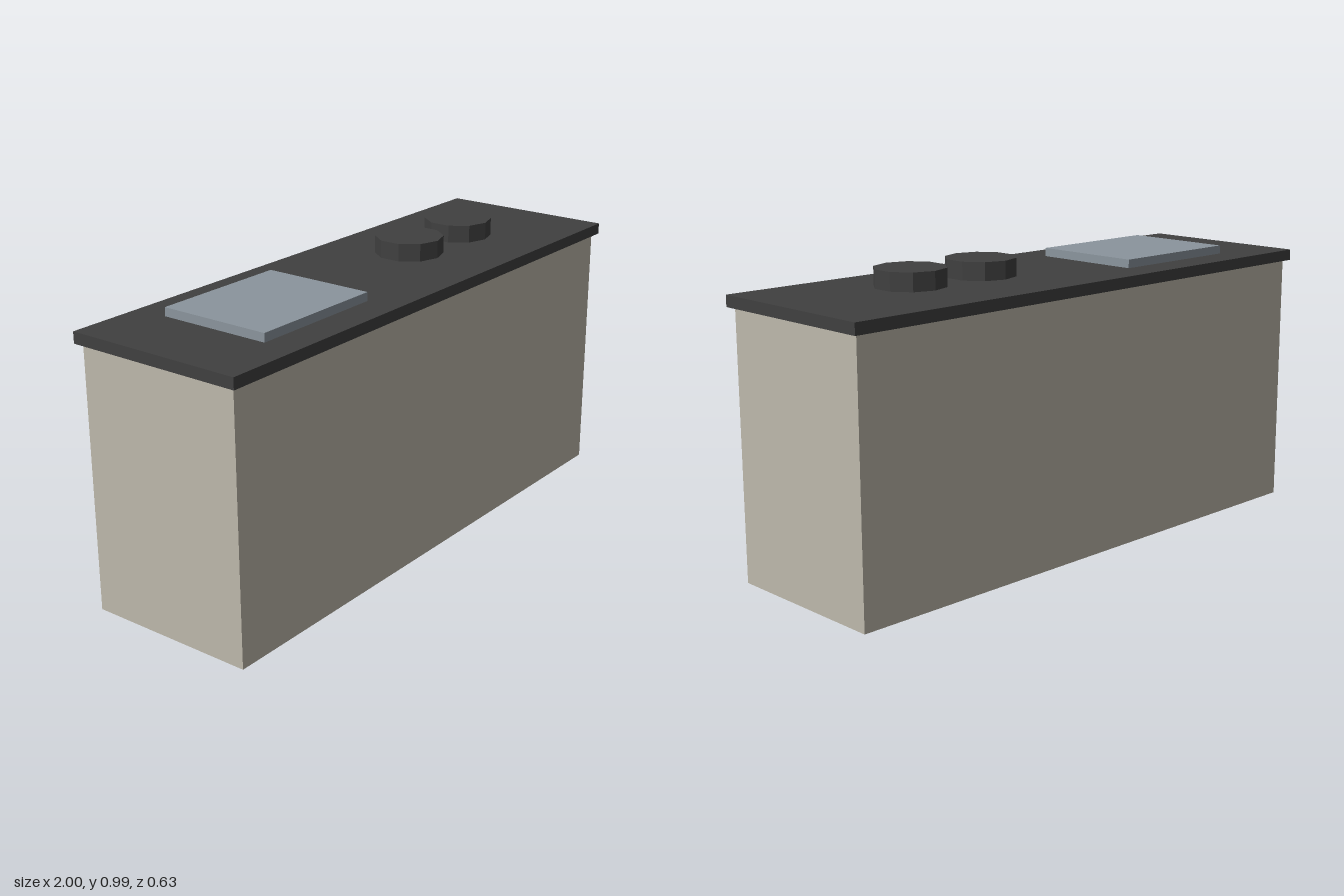
import * as THREE from 'three';

function material(name, color) {
  const m = new THREE.MeshStandardMaterial({ color });
  m.name = name;
  return m;
}

export function createModel() {
  const group = new THREE.Group();
  group.name = 'kitchenCounter';

  const beige = material('beige', 0xbeb9ac);
  const charcoal = material('charcoal', 0x404040);
  const steel = material('steel', 0x8b959d);

  const add = (name, geometry, mat, x, y, z = 0) => {
    const mesh = new THREE.Mesh(geometry, mat);
    mesh.name = name;
    mesh.position.set(x, y, z);
    group.add(mesh);
  };

  // Box spanning bottom to top in y, centred on z = 0
  const slab = (name, mat, x, width, bottom, top, depth) =>
    add(name, new THREE.BoxGeometry(width, top - bottom, depth), mat, x, (bottom + top) / 2);

  slab('cabinet', beige, 0, 1.963, 0, 0.885, 0.589);
  slab('worktop', charcoal, 0, 2, 0.885, 0.923, 0.626);
  slab('sink', steel, -0.494, 0.487, 0.923, 0.952, 0.393);

  // Ten-sided burners, set slightly above the worktop; flat facets
  const burner = new THREE.CylinderGeometry(0.117, 0.117, 0.06, 10).toNonIndexed();
  burner.computeVertexNormals();
  [['innerBurner', 0.243], ['outerBurner', 0.537]].forEach(([name, x]) =>
    add(name, burner, charcoal, x, 0.962));

  return group;
}
